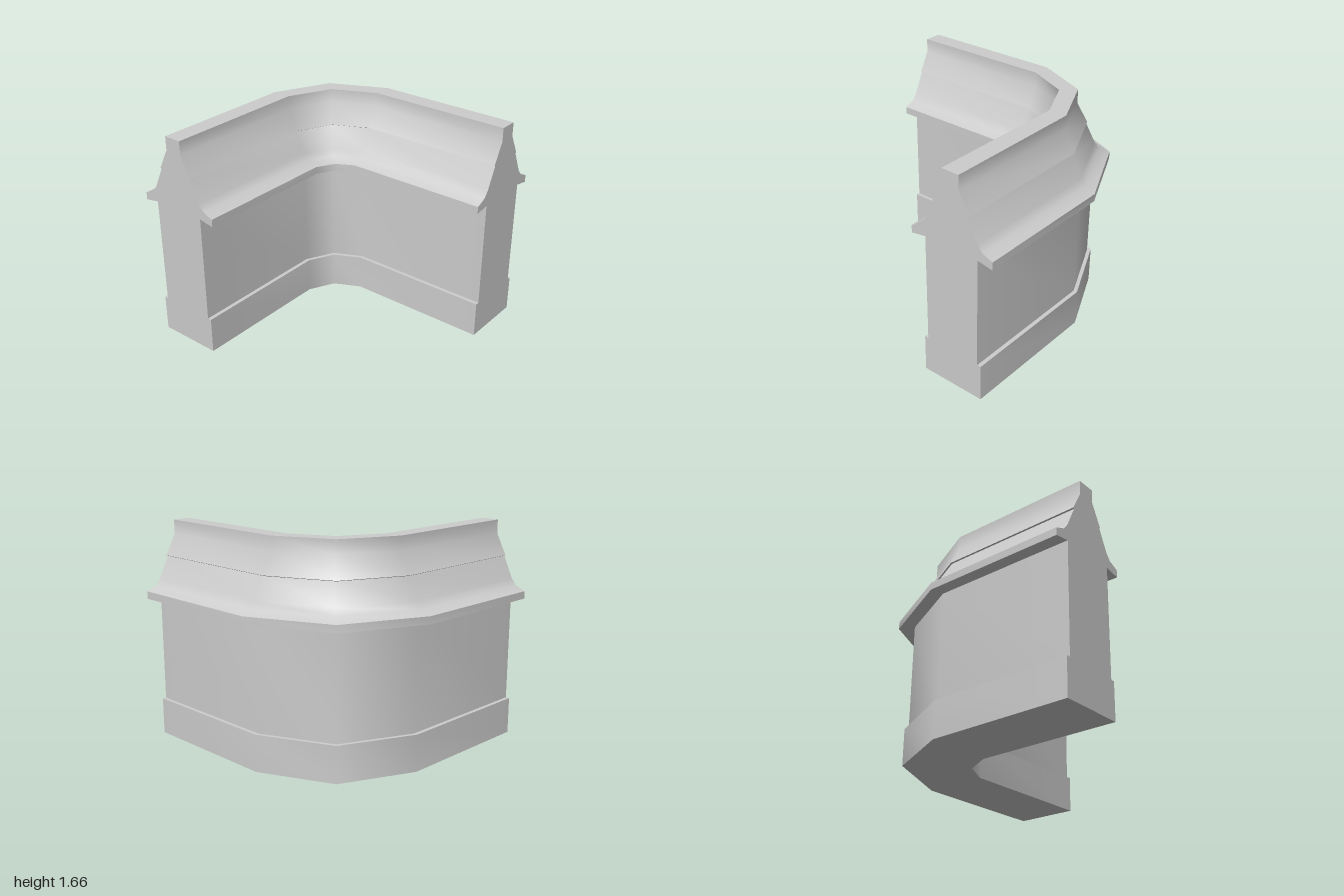
import * as THREE from 'three';

const CENTRE = 0.66; // distance of the wall's centre line from the middle
const BEND = 0.11;   // where the straight arms meet the bend

// Half cross-section as smooth runs of [offset from centre line, height], going up
const RUNS = {
  plinth: [[0.25, 0], [0.25, 0.28]],
  plinthLedge: [[0.25, 0.28], [0.22, 0.28]],
  wallFace: [[0.22, 0.28], [0.22, 1.11]],
  eaveUnderside: [[0.22, 1.11], [0.34, 1.09]],
  eaveLip: [[0.34, 1.09], [0.34, 1.147]],
  lowerCoping: [[0.34, 1.147], [0.26, 1.18], [0.22, 1.23], [0.143, 1.393]],
  copingStep: [[0.143, 1.393], [0.153, 1.398]],
  upperCoping: [[0.153, 1.398], [0.07, 1.555], [0.07, 1.66]],
};

// Plan of the wall at one offset: arm, two-facet bend, arm
function plan(d) {
  const corner = 0.1 + 0.7 * (CENTRE - BEND + d);
  const r = CENTRE + d;
  return [[-1, -r], [BEND, -r], [corner, -corner], [r, -BEND], [r, 1]];
}

// Sweep one run of the cross-section along the plan
function sweep(run) {
  const positions = [], index = [];
  run.forEach(([d, y], i) => {
    plan(d).forEach(([x, z], j) => {
      positions.push(x, y, z);
      if (i && j) {
        const c = i * 5 + j, a = c - 6, b = c - 5, e = c - 1;
        index.push(a, c, b, a, e, c);
      }
    });
  });
  const geometry = new THREE.BufferGeometry();
  geometry.setAttribute('position', new THREE.Float32BufferAttribute(positions, 3));
  geometry.setIndex(index);
  geometry.computeVertexNormals();
  return geometry;
}

const mirrored = (run) => run.map(([d, y]) => [-d, y]).reverse();

export function createModel() {
  const group = new THREE.Group();
  group.name = 'cornerWall';
  const stone = new THREE.MeshStandardMaterial({ color: 0xcccccc });
  stone.name = 'paleStone';
  const add = (name, geometry) => {
    const mesh = new THREE.Mesh(geometry, stone);
    mesh.name = name;
    group.add(mesh);
  };

  // Outer and inner faces
  for (const [name, run] of Object.entries(RUNS)) {
    add(name + 'Outer', sweep(run));
    add(name + 'Inner', sweep(mirrored(run)));
  }

  // Flat crest and base
  add('crest', sweep([[0.07, 1.66], [-0.07, 1.66]]));
  add('base', sweep([[-0.25, 0], [0.25, 0]]));

  // Cut ends of the two arms
  const half = Object.values(RUNS).flatMap((run) => run.slice(0, -1)).concat([[0.07, 1.66]]);
  const outline = [...half, ...mirrored(half)].map(([d, y]) => new THREE.Vector2(d, y));
  const end = new THREE.ShapeGeometry(new THREE.Shape(outline));
  add('frontEnd', end.clone().translate(CENTRE, 0, 1));
  add('sideEnd', end.clone().rotateY(-Math.PI / 2).translate(-1, 0, -CENTRE));

  return group;
}
